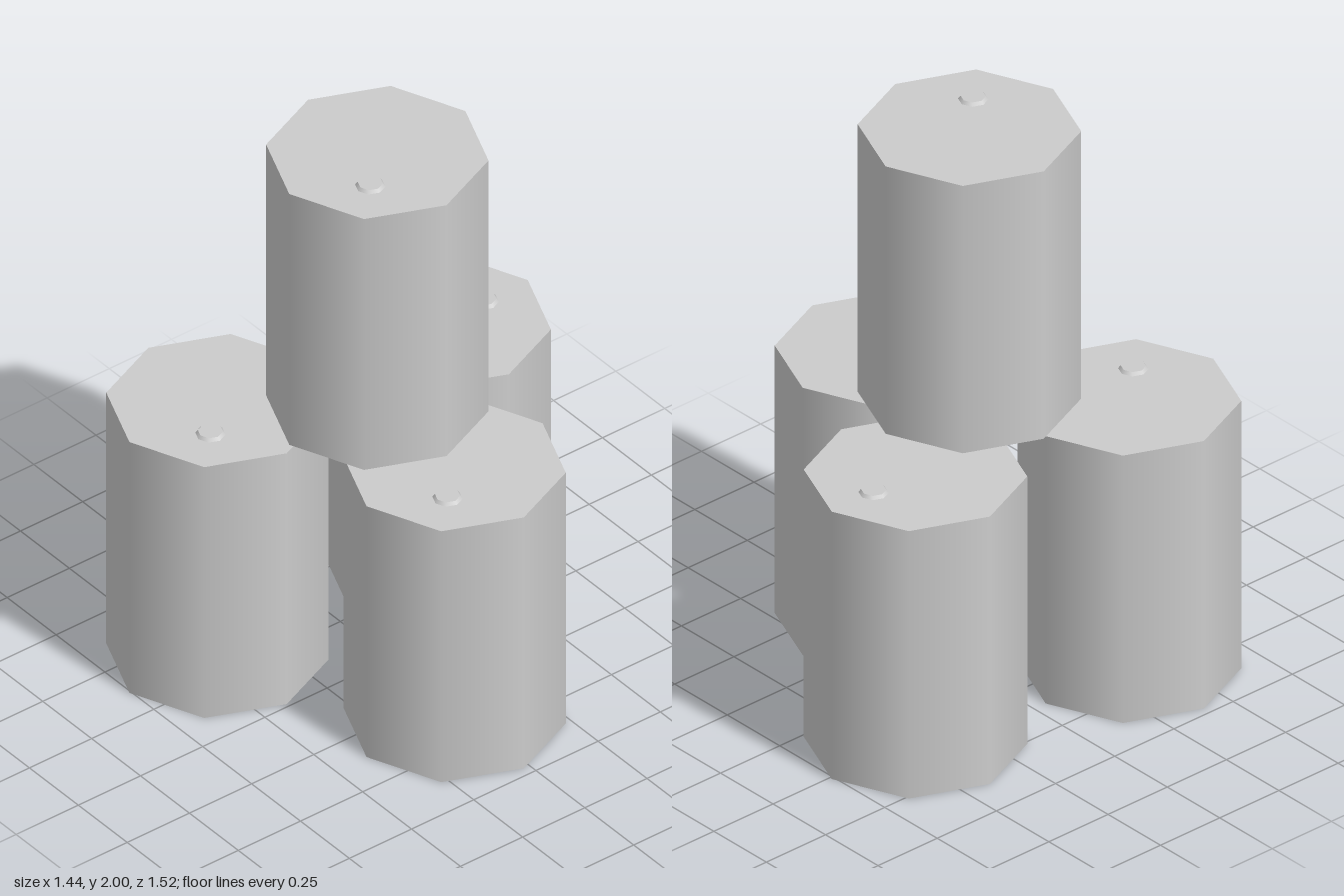
import * as THREE from 'three';

const RADIUS = 0.354;
const HEIGHT = 0.99;
const SIDES = 8;

// One eight-sided barrel with a small tapered bung on its lid
function createBarrel(name, [x, y, z], [bungX, bungZ], material) {
  const barrel = new THREE.Group();
  barrel.name = name;
  barrel.position.set(x, y, z);

  const body = new THREE.Mesh(
    new THREE.CylinderGeometry(RADIUS, RADIUS, HEIGHT, SIDES), material);
  body.name = 'barrelBody';
  body.position.y = HEIGHT / 2;

  const bung = new THREE.Mesh(
    new THREE.CylinderGeometry(0.04, 0.049, 0.012, SIDES), material);
  bung.name = 'bung';
  bung.position.set(bungX, HEIGHT + 0.005, bungZ);

  barrel.add(body, bung);
  return barrel;
}

export function createModel() {
  const material = new THREE.MeshStandardMaterial({ color: 0xcccccc });
  const model = new THREE.Group();
  model.name = 'barrelStack';

  // Three barrels on the ground and one standing on top of them
  const barrels = [
    ['backBarrel', [-0.26, 0, -0.407], [0, -0.177]],
    ['leftBarrel', [0.363, 0, 0.023], [0.123, 0.125]],
    ['frontBarrel', [-0.366, 0, 0.403], [0.123, 0.125]],
    ['topBarrel', [-0.032, 1, 0.023], [0.123, 0.125]],
  ];
  for (const [name, position, bung] of barrels) {
    model.add(createBarrel(name, position, bung, material));
  }
  return model;
}
